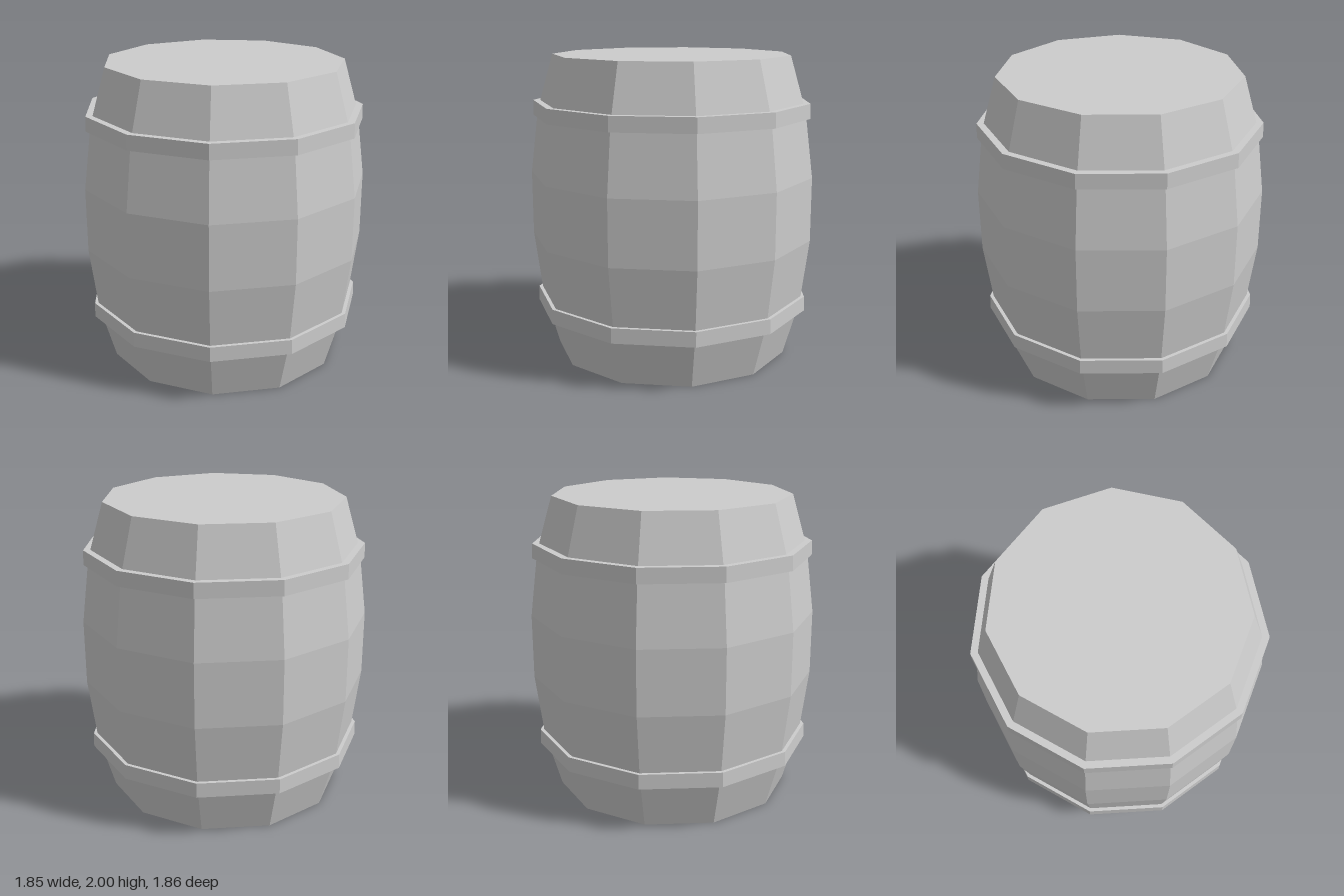
import * as THREE from 'three';

const SIDES = 11;

// Faceted solid of revolution with one corner pointing to -x
function turned(name, profile) {
  const points = profile.map(([r, y]) => new THREE.Vector2(r, y));
  const geometry = new THREE.LatheGeometry(points, SIDES, -Math.PI / 2);
  const material = new THREE.MeshStandardMaterial({ color: 0xcccccc, flatShading: true });
  const mesh = new THREE.Mesh(geometry, material);
  mesh.name = name;
  return mesh;
}

// Flat band with a rectangular section, closed on the inside
function hoop(name, y0, y1) {
  const inner = 0.86, outer = 0.92;
  return turned(name, [[inner, y0], [outer, y0], [outer - 0.003, y1], [inner, y1], [inner, y0]]);
}

export function createModel() {
  const barrel = new THREE.Group();
  barrel.name = 'barrel';

  // Bulging staves with flat lids at both ends
  barrel.add(turned('barrelBody', [
    [0, 0], [0.783, 0], [0.888, 0.37], [0.942, 0.796],
    [0.942, 1.218], [0.888, 1.64], [0.783, 2], [0, 2],
  ]));

  // Hoops
  barrel.add(hoop('lowerHoop', 0.313, 0.41));
  barrel.add(hoop('upperHoop', 1.602, 1.698));

  // An odd number of sides leaves the axis slightly off the middle of the width
  barrel.position.x = 0.02;

  const model = new THREE.Group();
  model.add(barrel);
  return model;
}
